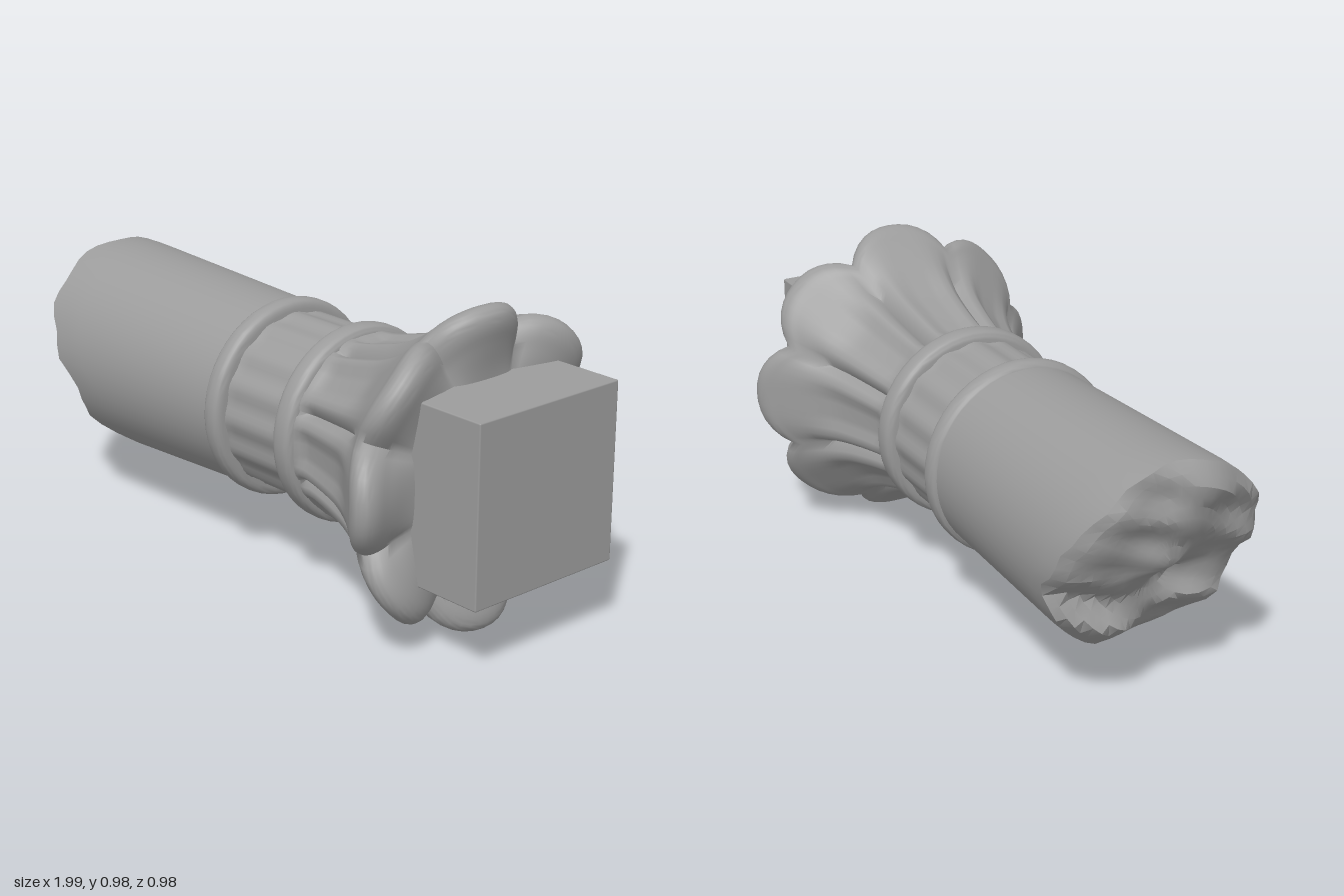
import * as THREE from 'three';
import { toCreasedNormals } from 'three/addons/utils/BufferGeometryUtils.js';
import { RoundedBoxGeometry } from 'three/addons/geometries/RoundedBoxGeometry.js';

const CY = 0.491; // height of the column axis, which runs along x
const mat = new THREE.MeshStandardMaterial({ color: 0x9c9c9c });
const smooth = THREE.MathUtils.smoothstep;

// Linear interpolation through [key, value] pairs
function lerpTable(table, k) {
  if (k <= table[0][0]) return table[0][1];
  for (let i = 1; i < table.length; i++) {
    const [a, va] = table[i - 1], [b, vb] = table[i];
    if (k <= b) return va + (vb - va) * (k - a) / (b - a);
  }
  return table[table.length - 1][1];
}

// Surface around the x axis: f(u, angle) gives [x, radius]
function around(name, nu, nv, f, crease = 0.8) {
  const pos = [], idx = [];
  for (let i = 0; i <= nu; i++) {
    for (let j = 0; j < nv; j++) {
      const a = j / nv * Math.PI * 2;
      const [x, r] = f(i / nu, a);
      pos.push(x, CY + r * Math.cos(a), r * Math.sin(a));
      if (i < nu) {
        const p = i * nv + j, q = i * nv + (j + 1) % nv;
        idx.push(p, q, p + nv, q, q + nv, p + nv);
      }
    }
  }
  const geo = new THREE.BufferGeometry();
  geo.setAttribute('position', new THREE.Float32BufferAttribute(pos, 3));
  geo.setIndex(idx);
  const mesh = new THREE.Mesh(toCreasedNormals(geo, crease), mat);
  mesh.name = name;
  return mesh;
}

// Uneven break across the shaft: x as a function of height and depth
const breakLine = [[0.16, -0.68], [0.2, -0.74], [0.25, -0.78], [0.31, -0.84], [0.41, -0.83],
  [0.5, -0.92], [0.6, -0.95], [0.68, -0.98], [0.76, -0.975], [0.83, -0.965]];
function breakX(y, z) {
  return lerpTable(breakLine, y - 0.025 * Math.sin(z * 13)) + 6 * z ** 4
    + 0.01 * Math.sin(y * 9 - z * 21) + 0.009 * Math.sin(y * 47 + z * 19);
}
const shaftRadius = x => 0.297 - 0.037 * (x + 0.1);

function brokenEnd() {
  return around('brokenEnd', 10, 48, (u, a) => {
    const r = u * 0.327;
    const x = breakX(CY + r * Math.cos(a), r * Math.sin(a));
    return u < 1 ? [x, r] : [x + 0.01, shaftRadius(x) - 0.003];
  }, 0.5);
}

function shaft() {
  return around('shaft', 12, 48, (u, a) => {
    const start = breakX(CY + 0.327 * Math.cos(a), 0.327 * Math.sin(a)) + 0.01;
    const x = start + (-0.09 - start) * u;
    return [x, shaftRadius(x) - (u === 0 ? 0.003 : 0)];
  });
}

// Rounded collar between two parts
function collar(name, x, halfWidth, radius) {
  return around(name, 14, 48, u => {
    const a = Math.PI * (1 - u), c = Math.cos(a);
    return [x + halfWidth * Math.sign(c) * Math.abs(c) ** 0.7,
      0.26 + (radius - 0.26) * Math.max(0, Math.sin(a)) ** 0.5];
  }, 1.2);
}

// Neck with shallow flutes
function neck() {
  return around('flutedNeck', 10, 96, (u, a) => {
    const fade = Math.min(1, 5 * Math.sin(Math.PI * u));
    return [-0.08 + 0.28 * u, 0.279 - 0.011 * fade * Math.sin(8 * a) ** 2];
  });
}

// Bell of eight petals: hollow along the middle, rolled rims, curled tips
function petals() {
  const path = new THREE.CatmullRomCurve3([
    [0.23, 0.285], [0.32, 0.3], [0.42, 0.325], [0.52, 0.358], [0.61, 0.402], [0.68, 0.452],
    [0.72, 0.482], [0.752, 0.488], [0.777, 0.472], [0.784, 0.44], [0.772, 0.38], [0.757, 0.3], [0.75, 0.2],
  ].map(([x, r]) => new THREE.Vector3(x, r, 0)), false, 'centripetal');
  const pts = path.getPoints(48);
  const step = Math.PI / 4;
  return around('petals', 48, 96, (u, a) => {
    const p = pts[Math.round(u * 48)];
    const t = Math.abs(a / step - Math.round(a / step)) * 2; // 0 mid-petal, 1 between petals
    const outside = u < 0.7;
    const inner = outside ? 1 : smooth(p.y, 0.22, 0.48);
    const flare = outside ? smooth(p.x, 0.5, 0.72) : 1;
    const start = smooth(p.x, 0.24, 0.3);
    const valley = (0.045 * start + 0.01 * flare) * inner * t ** (7 - 4.3 * flare);
    const hollow = 0.026 * start * (1 - smooth(p.x, 0.48, 0.64)) * (1 - smooth(t, 0.25, 0.65));
    const pullBack = 0.07 * smooth(p.x, 0.45, 0.74) * inner * t ** 2;
    return [p.x - pullBack, p.y - valley - (outside ? hollow : 0)];
  }, 1.3);
}

export function createModel() {
  const model = new THREE.Group();
  model.name = 'brokenColumn';
  model.add(
    brokenEnd(),
    shaft(),
    collar('shaftCollar', -0.098, 0.036, 0.314),
    neck(),
    collar('neckCollar', 0.218, 0.04, 0.308),
    petals(),
  );

  // Square block behind the petals
  const block = new THREE.Mesh(new RoundedBoxGeometry(0.4, 0.546, 0.546, 1, 0.005), mat);
  block.name = 'squareBlock';
  block.position.set(0.797, CY + 0.002, 0);
  model.add(block);
  return model;
}
